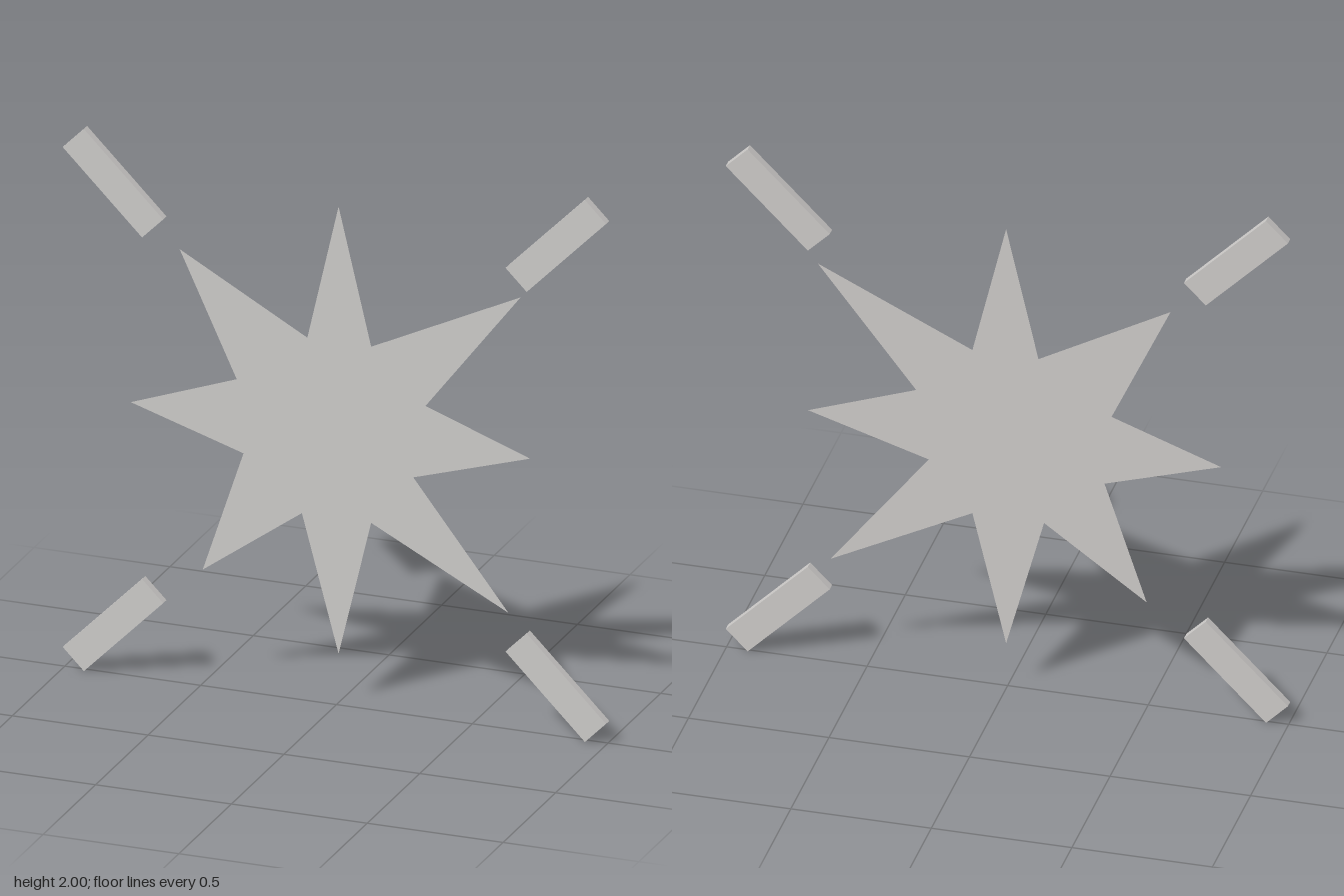
import * as THREE from 'three';

const grey = new THREE.MeshStandardMaterial({ color: 0xcccac8, side: THREE.DoubleSide });
grey.name = 'light grey';

// flat star cut from an outline, placed at depth z
function star(name, points, z) {
  const shape = new THREE.Shape(points.map(([x, y]) => new THREE.Vector2(x, y)));
  const mesh = new THREE.Mesh(new THREE.ShapeGeometry(shape), grey);
  mesh.name = name;
  mesh.position.z = z;
  return mesh;
}

export function createModel() {
  const model = new THREE.Group();
  model.name = 'starburst';

  // large eight-pointed burst
  model.add(star('outerStar', [
    [0, 1.83], [-0.115, 1.33], [-0.585, 1.59], [-0.375, 1.14],
    [-0.765, 1.0], [-0.35, 0.87], [-0.5, 0.42], [-0.135, 0.68],
    [0, 0.18], [0.12, 0.68], [0.625, 0.42], [0.275, 0.87],
    [0.705, 1.0], [0.32, 1.14], [0.67, 1.59], [0.12, 1.33],
  ], -0.02));

  // small tilted six-pointed burst just in front
  model.add(star('innerStar', [
    [-0.11, 1.31], [-0.1, 1.105], [-0.31, 1.065], [-0.175, 0.96],
    [-0.2, 0.765], [-0.03, 0.85], [0.075, 0.71], [0.12, 0.895],
    [0.26, 0.945], [0.15, 1.055], [0.235, 1.235], [0.03, 1.16],
  ], -0.016));

  // four diagonal corner bars
  const barGeometry = new THREE.BoxGeometry(0.413, 0.11, 0.031);
  for (const sx of [-1, 1]) {
    for (const sy of [-1, 1]) {
      const bar = new THREE.Mesh(barGeometry, grey);
      bar.name = `${sy > 0 ? 'upper' : 'lower'}${sx > 0 ? 'Left' : 'Right'}Bar`;
      bar.position.set(sx * 0.815, 1 + sy * 0.815, 0.0045);
      bar.rotation.z = sx * sy * Math.PI / 4;
      model.add(bar);
    }
  }
  return model;
}
